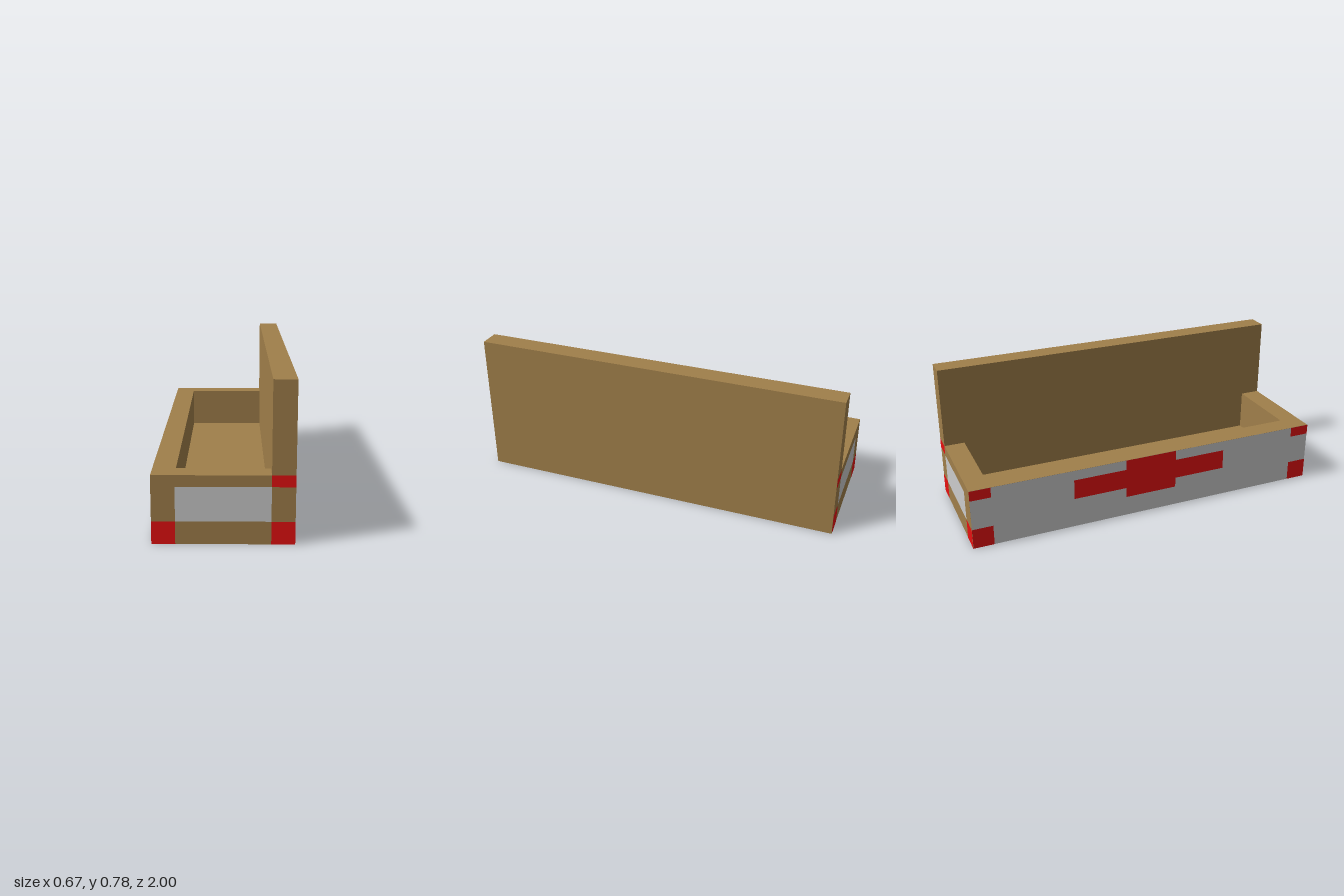
import * as THREE from 'three';

const U = 1 / 18; // the design sits on a grid of 1/18
const brown = new THREE.MeshStandardMaterial({ color: 0xa07f4a });
const grey = new THREE.MeshStandardMaterial({ color: 0xcccccc });
const red = new THREE.MeshStandardMaterial({ color: 0xe61010 });

export function createModel() {
  const model = new THREE.Group();

  // Box given by its min and max corners in grid units
  function block(name, [x0, y0, z0], [x1, y1, z1]) {
    const geo = new THREE.BoxGeometry((x1 - x0) * U, (y1 - y0) * U, (z1 - z0) * U);
    const mesh = new THREE.Mesh(geo, brown);
    mesh.name = name;
    mesh.position.set((x0 + x1) / 2 * U, (y0 + y1) / 2 * U, (z0 + z1) / 2 * U);
    model.add(mesh);
  }

  // Painted rectangle on a wall: a0..a1 runs along the wall, y0..y1 up it
  function paint(name, wall, mat, a0, a1, y0, y1, lift = 0.001) {
    const mesh = new THREE.Mesh(new THREE.PlaneGeometry((a1 - a0) * U, (y1 - y0) * U), mat);
    const a = (a0 + a1) / 2 * U, y = (y0 + y1) / 2 * U;
    mesh.name = name;
    if (wall === 'side') {
      mesh.position.set(-6 * U - lift, y, a);
      mesh.rotation.y = -Math.PI / 2;
    } else {
      const s = wall === 'front' ? 1 : -1;
      mesh.position.set(a, y, s * (1 + lift));
      if (s < 0) mesh.rotation.y = Math.PI;
    }
    model.add(mesh);
  }

  // Open trough with one tall wall
  block('floor', [-4, 0, -16], [4, 2, 16]);
  block('tallWall', [4, 0, -18], [6, 14, 18]);
  block('lowWall', [-6, 0, -18], [-4, 6, 18]);
  block('frontEndWall', [-4, 0, 16], [4, 6, 18]);
  block('backEndWall', [-4, 0, -18], [4, 6, -16]);

  // End walls: grey panel and red corner marks
  for (const wall of ['front', 'back']) {
    paint(wall + 'Panel', wall, grey, -4, 4, 2, 5);
    paint(wall + 'LowerCornerRight', wall, red, -6, -4, 0, 2);
    paint(wall + 'LowerCornerLeft', wall, red, 4, 6, 0, 2);
    paint(wall + 'UpperCornerLeft', wall, red, 4, 6, 5, 6);
  }

  // Low wall: grey face, red corners and a stepped cross
  paint('sidePanel', 'side', grey, -18, 18, 0, 6);
  for (const z of [-18, 16]) {
    paint('sideLowerCorner', 'side', red, z, z + 2, 0, 2, 0.002);
    paint('sideUpperCorner', 'side', red, z, z + 2, 5, 6, 0.002);
  }
  const c = 8 / 3;
  paint('crossCentre', 'side', red, -c, c, 2, 6, 0.002);
  paint('crossArmBack', 'side', red, -8, -c, 3, 5, 0.002);
  paint('crossArmFront', 'side', red, c, 8, 3, 5, 0.002);

  return model;
}
